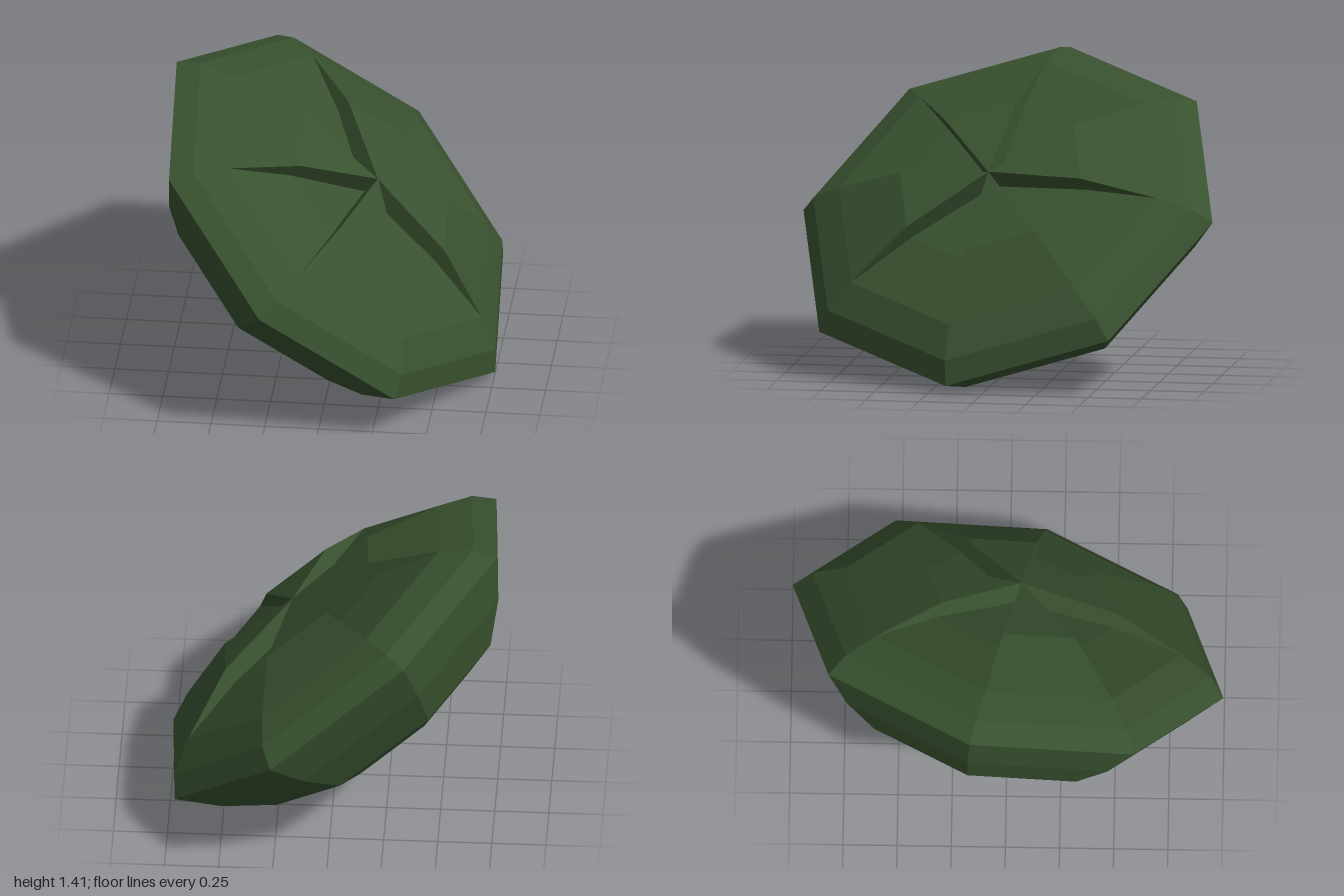
import * as THREE from 'three';

// Profiles as [radius, height], running outward from the top centre
const RAISED = [[0, 0.318], [0.455, 0.29], [0.8, 0.167]];
const SUNKEN = [[0, 0.215], [0.455, 0.212], [0.8, 0.167]];
// Shared outer bevel, rim and underside, down to the bottom centre
const SHELL = [[0.8, 0.167], [0.953, 0.09], [1.03, 0], [0.882, -0.18],
  [0.682, -0.355], [0.49, -0.42], [0.256, -0.46], [0, -0.475]];
const SIDES = 8;

const at = ([r, h], k) => {
  const a = (k * Math.PI * 2) / SIDES;
  return new THREE.Vector3(r * Math.sin(a), h, r * Math.cos(a));
};

// Flat-faced mesh from a list of four-cornered faces
function facetMesh(name, quads, material) {
  const pos = [];
  const tri = (a, b, c) => {
    if (new THREE.Triangle(a, b, c).getArea() < 1e-6) return;
    for (const p of [a, b, c]) pos.push(p.x, p.y, p.z);
  };
  for (const [a, b, c, d] of quads) {
    tri(a, b, c);
    tri(a, c, d);
  }
  const geo = new THREE.BufferGeometry();
  geo.setAttribute('position', new THREE.Float32BufferAttribute(pos, 3));
  geo.computeVertexNormals();
  const mesh = new THREE.Mesh(geo, material);
  mesh.name = name;
  return mesh;
}

// One wedge of a turned profile
function wedge(profile, k) {
  const quads = [];
  for (let i = 0; i < profile.length - 1; i++) {
    const a = profile[i], b = profile[i + 1];
    quads.push([at(a, k), at(b, k), at(b, k + 1), at(a, k + 1)]);
  }
  return quads;
}

export function createModel() {
  const green = new THREE.MeshStandardMaterial({ color: 0x38512f });
  green.name = 'dark green';
  green.flatShading = true;

  const shell = [], raised = [], sunken = [], walls = [];
  for (let k = 0; k < SIDES; k++) {
    const isRaised = k % 2 === 0;
    shell.push(...wedge(SHELL, k));
    if (isRaised) raised.push(...wedge(RAISED, k));
    else sunken.push(...wedge(SUNKEN, k));
    // Step between neighbouring wedges, facing the sunken one
    for (let i = 0; i < RAISED.length - 1; i++) {
      const q = [at(RAISED[i], k), at(RAISED[i + 1], k), at(SUNKEN[i + 1], k), at(SUNKEN[i], k)];
      walls.push(isRaised ? q.reverse() : q);
    }
  }

  const body = new THREE.Group();
  body.name = 'body';
  body.add(
    facetMesh('outerShell', shell, green),
    facetMesh('raisedWedges', raised, green),
    facetMesh('sunkenWedges', sunken, green),
    facetMesh('wedgeSteps', walls, green),
  );

  // Lean the body over
  const up = new THREE.Vector3(0.633, 0.752, 0.184).normalize();
  const front = new THREE.Vector3(-0.243, -0.034, 0.971);
  const side = up.clone().cross(front).normalize();
  front.crossVectors(side, up);
  body.quaternion.setFromRotationMatrix(new THREE.Matrix4().makeBasis(side, up, front));
  body.position.y = 0.718;

  const model = new THREE.Group();
  model.name = 'model';
  model.add(body);
  return model;
}
